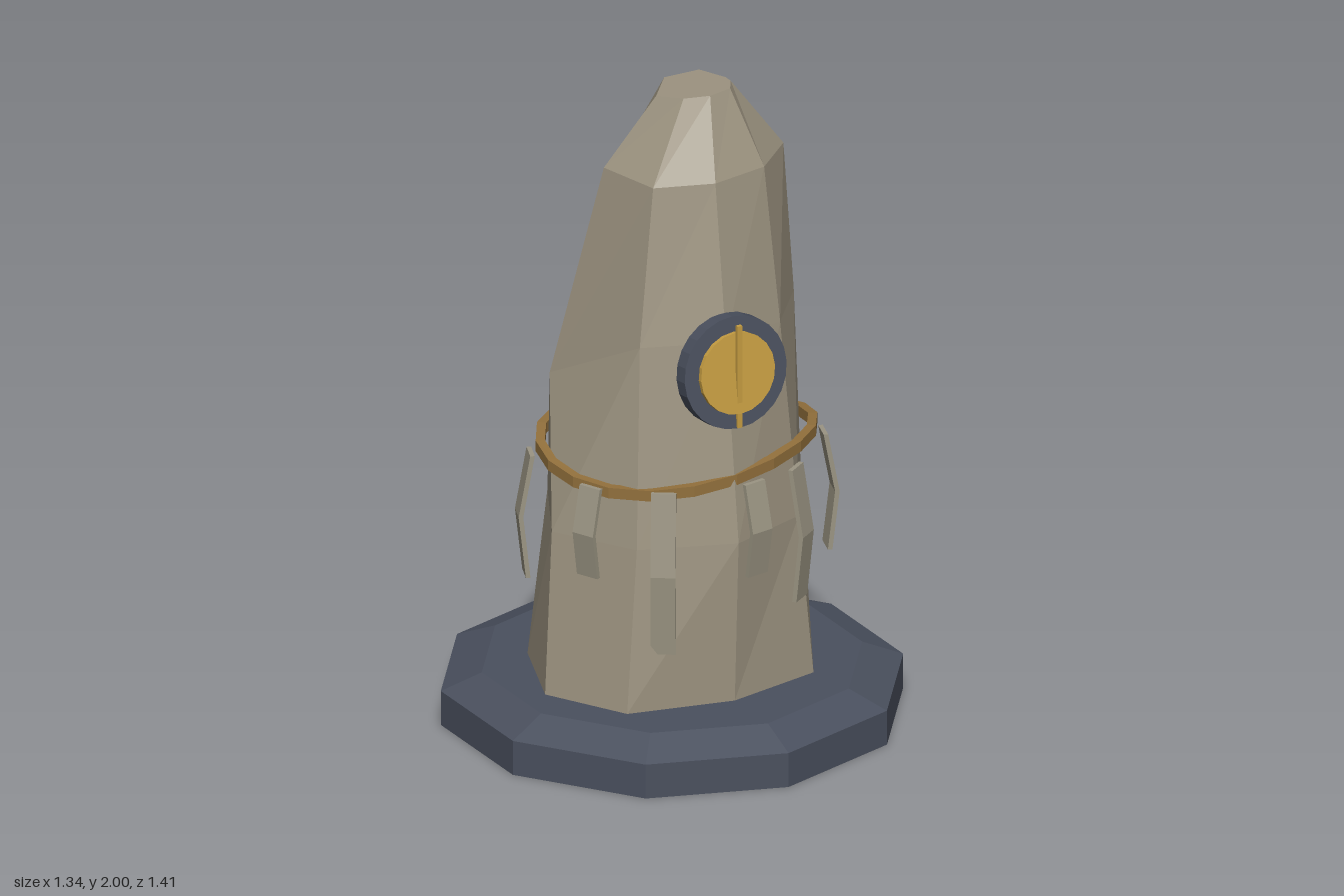
import * as THREE from 'three';

const mat = (name, color) => {
  const m = new THREE.MeshStandardMaterial({ color });
  m.name = name;
  m.flatShading = true;
  return m;
};

// Joins closed rings of [x, y, z] points into faceted walls, with an optional top cap
function skin(rings, cap) {
  const pos = [];
  const n = rings[0].length;
  for (let r = 0; r < rings.length - 1; r++) {
    for (let i = 0; i < n; i++) {
      const j = (i + 1) % n;
      const a = rings[r][i], b = rings[r][j], c = rings[r + 1][i], d = rings[r + 1][j];
      pos.push(...b, ...a, ...c, ...b, ...c, ...d);
    }
  }
  if (cap) {
    const top = rings[rings.length - 1];
    for (let i = 1; i < n - 1; i++) pos.push(...top[0], ...top[i + 1], ...top[i]);
  }
  const g = new THREE.BufferGeometry();
  g.setAttribute('position', new THREE.Float32BufferAttribute(pos, 3));
  g.computeVertexNormals();
  return g;
}

export function createModel() {
  const model = new THREE.Group();
  const stone = mat('stone', 0x9c9380);
  const paper = mat('pale strip', 0x9b9583);
  const slate = mat('slate', 0x4a505e);
  const gold = mat('gold', 0xc79e42);
  const rope = mat('bronze', 0x92703c);

  const add = (name, geometry, material, parent = model) => {
    const mesh = new THREE.Mesh(geometry, material);
    mesh.name = name;
    parent.add(mesh);
    return mesh;
  };

  // Ten-sided plinth with a sloped upper edge
  add('plinth', new THREE.CylinderGeometry(0.705, 0.705, 0.11, 10), slate).position.y = 0.055;
  add('plinthBevel', new THREE.CylinderGeometry(0.58, 0.705, 0.05, 10), slate).position.y = 0.135;

  // Irregular eight-sided standing stone: height, then x, z around each ring
  const levels = [
    [0.16, [[0.415, 0.06], [0.31, 0.31], [0, 0.38], [-0.33, 0.31], [-0.47, 0.06], [-0.36, -0.24], [0.17, -0.4], [0.41, -0.22]]],
    [0.67, [[0.41, 0.06], [0.27, 0.29], [0.01, 0.385], [-0.28, 0.28], [-0.43, 0.03], [-0.28, -0.26], [0.16, -0.325], [0.4, -0.21]]],
    [1.29, [[0.39, 0.05], [0.235, 0.24], [0.015, 0.3], [-0.23, 0.21], [-0.335, -0.15], [-0.1, -0.3], [0.19, -0.3], [0.36, -0.2]]],
    [1.77, [[0.36, 0.04], [0.22, 0.17], [0.03, 0.21], [-0.15, 0.15], [-0.2, -0.06], [-0.04, -0.2], [0.18, -0.22], [0.32, -0.11]]],
    [2.0, [[0.19, 0.02], [0.16, 0.07], [0.08, 0.09], [0, 0.07], [-0.06, 0.01], [0.03, -0.1], [0.15, -0.1], [0.19, -0.01]]],
  ];
  const rings = levels.map(([y, pts]) => pts.map(([x, z]) => [x, y, z]));
  rings[2][4][1] = 1.1; // one shoulder corner sits lower
  add('standingStone', skin(rings, true), stone);

  // Wavy band around the stone, with a square section
  const section = [[0.014, -0.017], [0.014, 0.017], [-0.014, 0.017], [-0.014, -0.017], [0.014, -0.017]];
  const bandRings = section.map(([dr, dy]) => Array.from({ length: 20 }, (_, i) => {
    const t = (i / 20) * Math.PI * 2;
    const y = 0.867 + 0.028 * Math.cos(2 * (t - 0.75));
    return [0.02 + (0.427 + dr) * Math.cos(t), y + dy, -0.008 + (0.353 + dr) * Math.sin(t)];
  }));
  add('band', skin(bandRings, false), rope);

  // Bent strips hanging from the band: x, z, lower end
  const strips = [
    [0.46, 0.14, 0.48], [0.245, 0.35, 0.43], [0.07, 0.395, 0.56], [-0.22, 0.335, 0.34],
    [-0.39, 0.175, 0.57], [-0.415, -0.16, 0.46], [-0.1, -0.385, 0.41], [0.37, -0.265, 0.46],
  ];
  for (const [x, z, bottom] of strips) {
    const top = 0.855, mid = (top + bottom) / 2, t = 0.014;
    const shape = new THREE.Shape([
      [-0.025, top], [0.01, mid], [-0.012, bottom], [-0.012 + t, bottom], [0.01 + t, mid], [-0.025 + t, top],
    ].map(([px, py]) => new THREE.Vector2(px, py)));
    const g = new THREE.ExtrudeGeometry(shape, { depth: 0.075, bevelEnabled: false });
    g.translate(0, 0, -0.0375);
    const strip = add('hangingStrip', g, paper);
    strip.position.set(x, 0, z);
    strip.rotation.y = -Math.atan2(z, x);
  }

  // Round medallion, leaning back with the stone
  const medallion = new THREE.Group();
  medallion.name = 'medallion';
  medallion.position.set(0.02, 1.208, 0.325);
  medallion.rotation.x = -0.122;
  model.add(medallion);
  const rim = add('medallionRim', new THREE.CylinderGeometry(0.175, 0.175, 0.05, 24), slate, medallion);
  rim.rotation.x = Math.PI / 2;
  const face = add('medallionFace', new THREE.CylinderGeometry(0.127, 0.127, 0.02, 20), gold, medallion);
  face.rotation.x = Math.PI / 2;
  face.position.z = 0.03;

  // Upright needle crossing the medallion face
  add('needle', new THREE.BoxGeometry(0.016, 0.33, 0.012), gold).position.set(0.02, 1.205, 0.37);

  return model;
}
